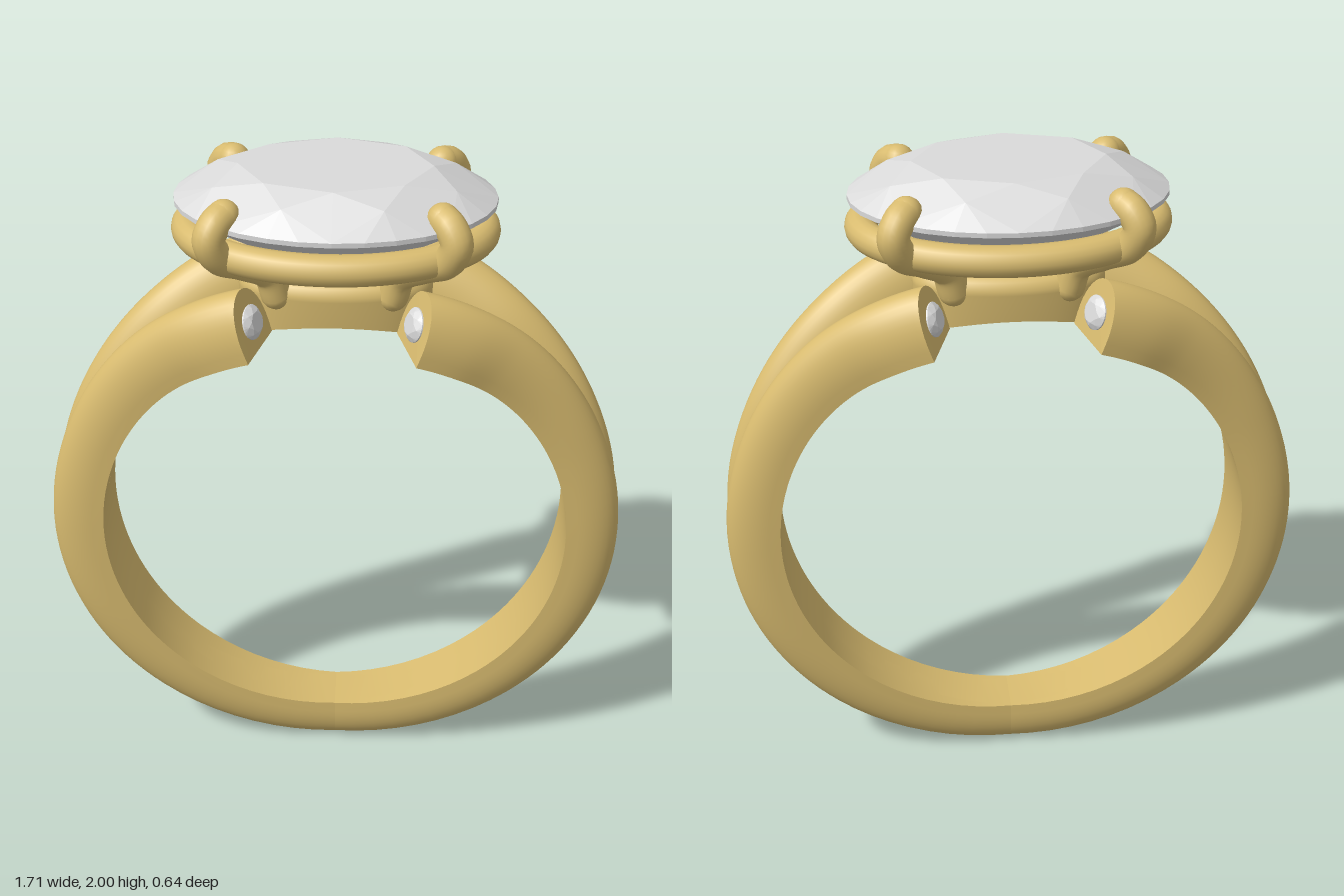
import * as THREE from 'three';
import { mergeGeometries } from 'three/addons/utils/BufferGeometryUtils.js';

const CY = 0.855, FINGER = 0.695; // ring centre height and finger-hole radius
const rad = THREE.MathUtils.degToRad;

// Skin a list of cross-sections; repeated points in a section make a crease
function skin(rows, { loop = false, cap = false } = {}) {
  const n = rows[0].length, pos = rows.flat(2), idx = [];
  const last = loop ? rows.length : rows.length - 1;
  for (let i = 0; i < last; i++) {
    for (let j = 0; j < n - 1; j++) {
      const a = i * n + j, d = ((i + 1) % rows.length) * n + j;
      idx.push(a, a + 1, d, a + 1, d + 1, d);
    }
  }
  if (cap) {
    const end = rows[rows.length - 1], base = pos.length / 3;
    const mid = [0, 1, 2].map(k => end.reduce((s, p) => s + p[k], 0) / n);
    pos.push(...mid, ...end.flat());
    for (let j = 0; j < n - 1; j++) idx.push(base, base + 1 + j, base + 2 + j);
  }
  const g = new THREE.BufferGeometry();
  g.setAttribute('position', new THREE.Float32BufferAttribute(pos, 3));
  g.setIndex(idx);
  g.computeVertexNormals();
  return g;
}

// Copy a geometry into another quadrant, keeping its faces outward
function mirrored(geo, sx, sz) {
  const g = geo.clone().scale(sx, 1, sz);
  if (sx * sz < 0) {
    const a = g.index.array;
    for (let i = 0; i < a.length; i += 3) [a[i], a[i + 1]] = [a[i + 1], a[i]];
  }
  return g;
}

// One quarter of the split band: flat inside, domed outside, drifting outward in z
function shankGeometry() {
  const edges = new THREE.CatmullRomCurve3([ // angle from bottom, outer z, inner z
    [0, 0.08, -0.07], [40, 0.108, -0.03], [65, 0.125, -0.008], [90, 0.14, 0],
    [115, 0.153, 0.003], [130, 0.172, 0.02], [141, 0.2, 0.037],
    [152, 0.24, 0.07], [162.7, 0.27, 0.1],
  ].map(([a, o, i]) => new THREE.Vector3(rad(a), o, i)));
  const rows = [];
  for (let i = 0; i <= 72; i++) {
    const e = edges.getPoint(i / 72), c = (e.y + e.z) / 2, hw = (e.y - e.z) / 2;
    const rise = THREE.MathUtils.smoothstep(e.x, rad(105), rad(163));
    const skew = THREE.MathUtils.smoothstep(e.x, rad(135), rad(162));
    const outer = CY + 0.027 * rise, shoulder = 0.73;
    const at = (r, dz) => {
      const a = e.x - skew * dz * 0.5;
      return [r * Math.sin(a), CY - r * Math.cos(a), c + dz];
    };
    const row = [at(FINGER, hw)];
    for (let j = 0; j <= 20; j++) {
      const t = Math.PI * j / 20;
      row.push(at(shoulder + (outer - shoulder) * Math.sin(t), hw * Math.cos(t)));
    }
    row.push(at(FINGER, -hw), at(FINGER, -hw), at(FINGER, hw));
    rows.push(row);
  }
  return skin(rows, { cap: true });
}

// Oval saddle joining the shanks, its underside cut to the finger hole
function saddleGeometry() {
  const rows = [], a = 0.235, b = 0.088, h = 0.044;
  for (let i = 0; i < 64; i++) {
    const f = i / 64 * Math.PI * 2, c = Math.cos(f), s = Math.sin(f);
    const len = Math.hypot(b * c, a * s), nx = b * c / len, nz = a * s / len;
    const at = (d, y) => {
      const x = a * c + nx * d;
      return [x, y ?? CY + Math.sqrt(FINGER ** 2 - x * x), b * s + nz * d];
    };
    const row = [at(h * 0.8)];
    for (let j = 0; j <= 12; j++) {
      const t = Math.PI * j / 12;
      row.push(at(h * Math.cos(t), 1.635 + 0.05 * Math.sin(t)));
    }
    row.push(at(-h * 0.8), at(-h * 0.8), at(h * 0.8));
    rows.push(row);
  }
  return skin(rows, { loop: true });
}

// Faceted brilliant cut, girdle top at y = 0
function brilliantGeometry(rx, rz, crown, girdle, depth) {
  const pos = [], tri = (...p) => pos.push(...p.flat());
  const at = (k, f, y) => {
    const t = k * Math.PI / 4;
    return [rx * f * Math.cos(t), y, rz * f * Math.sin(t)];
  };
  const T = k => at(k, 0.6, crown), M = k => at(k + 0.5, 0.8, crown * 0.65);
  const G = k => at(k, 1, 0), H = k => at(k, 1, -girdle);
  for (let k = 0; k < 8; k++) {
    tri([0, crown, 0], T(k + 1), T(k));       // table
    tri(M(k), T(k), T(k + 1));                // star
    tri(T(k), M(k), G(k));                    // bezel
    tri(T(k), G(k), M(k - 1));
    for (let q = k; q < k + 1; q += 0.25) {
      const r = q + 0.25;
      tri(M(k), G(r), G(q));                  // upper girdle
      tri(G(q), G(r), H(q));
      tri(G(r), H(r), H(q));
      tri([0, -depth, 0], H(q), H(r));        // pavilion
    }
  }
  const g = new THREE.BufferGeometry();
  g.setAttribute('position', new THREE.Float32BufferAttribute(pos, 3));
  g.computeVertexNormals();
  return g;
}

// Claw rising from the saddle, bowing outward and hooking over the stone
function prongGeometry() {
  const path = new THREE.CatmullRomCurve3([
    [0.165, 1.64, 0.085], [0.185, 1.71, 0.1], [0.25, 1.765, 0.155], [0.315, 1.815, 0.215],
    [0.337, 1.875, 0.235], [0.32, 1.915, 0.217], [0.298, 1.928, 0.188],
  ].map(p => new THREE.Vector3(...p)));
  const r = 0.046;
  const ball = t => {
    const p = path.getPoint(t);
    return new THREE.SphereGeometry(r, 16, 12).translate(p.x, p.y, p.z);
  };
  return mergeGeometries([new THREE.TubeGeometry(path, 40, r, 16), ball(0), ball(1)]);
}

// Oval rail under the stone
function railGeometry() {
  class Oval extends THREE.Curve {
    getPoint(t, out = new THREE.Vector3()) {
      const f = t * Math.PI * 2;
      return out.set(0.42 * Math.cos(f), 1.81, 0.273 * Math.sin(f));
    }
  }
  return new THREE.TubeGeometry(new Oval(), 96, 0.045, 16, true);
}

export function createModel() {
  const gold = new THREE.MeshStandardMaterial({ color: 0xd9bc70 });
  gold.name = 'gold';
  const crystal = new THREE.MeshStandardMaterial({ color: 0xdadada });
  crystal.name = 'crystal';

  const model = new THREE.Group();
  model.name = 'ring';
  const add = (name, geo, mat) => {
    const m = new THREE.Mesh(geo, mat);
    m.name = name;
    model.add(m);
    return m;
  };

  add('saddle', saddleGeometry(), gold);
  add('basketRail', railGeometry(), gold);
  add('centreStone', brilliantGeometry(0.455, 0.307, 0.092, 0.014, 0.268), crystal)
    .position.y = 1.908;

  const shank = shankGeometry(), prong = prongGeometry();
  const accent = brilliantGeometry(0.05, 0.05, 0.016, 0.004, 0.03);
  const end = rad(162.7), up = new THREE.Vector3(0, 1, 0);
  for (const sx of [1, -1]) {
    for (const sz of [1, -1]) {
      const side = (sz > 0 ? 'Front' : 'Back') + (sx > 0 ? 'Left' : 'Right');
      add('shank' + side, mirrored(shank, sx, sz), gold);
      add('prong' + side, mirrored(prong, sx, sz), gold);
      // Small stone set in the cut end of the shank
      const stone = add('accentStone' + side, accent, crystal);
      const n = new THREE.Vector3(sx * Math.cos(end), Math.sin(end), sz * 0.4).normalize();
      stone.quaternion.setFromUnitVectors(up, n);
      stone.position.set(sx * 0.78 * Math.sin(end), CY - 0.78 * Math.cos(end), sz * 0.185)
        .addScaledVector(n, 0.007);
    }
  }
  return model;
}
